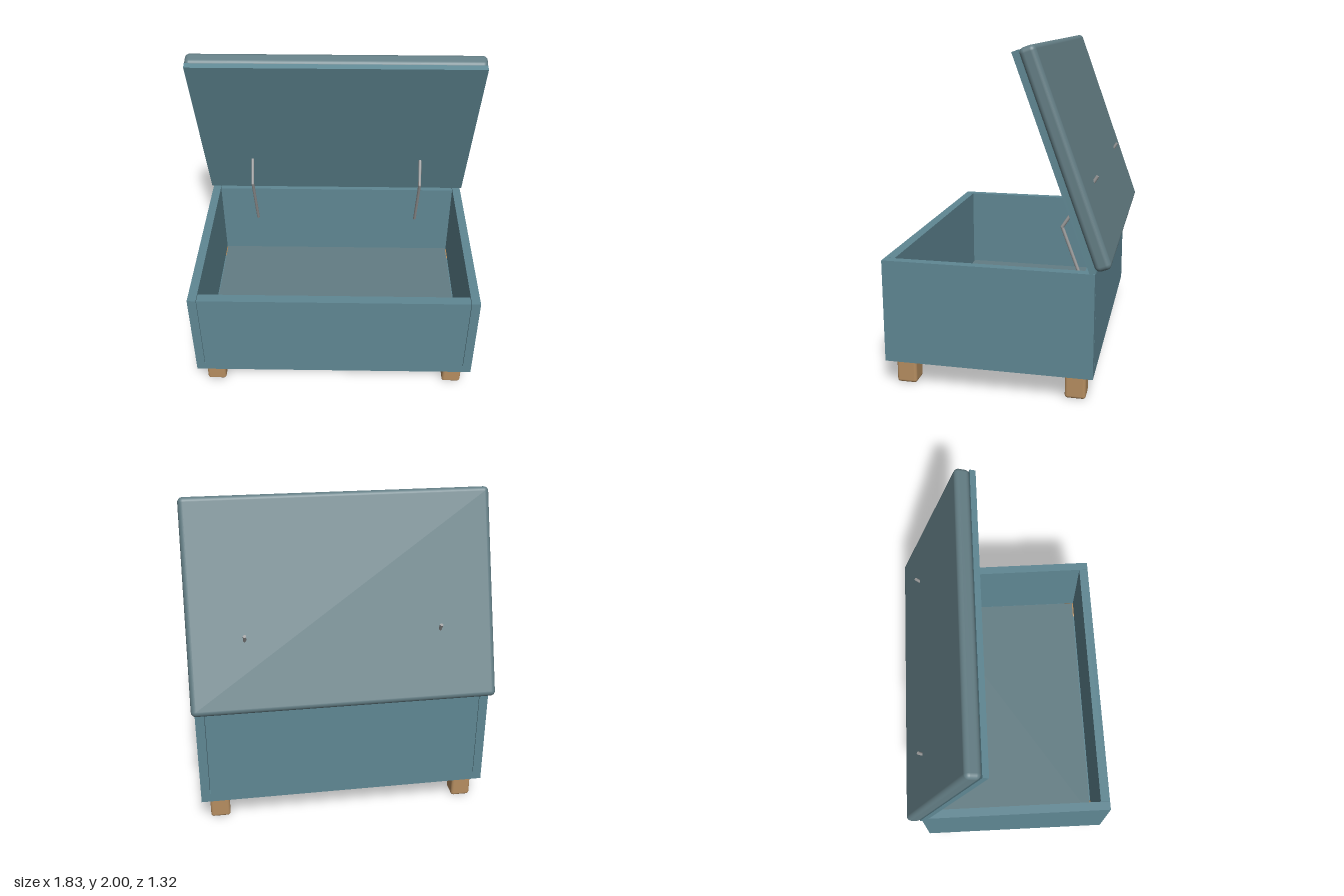
import * as THREE from 'three';
import { RoundedBoxGeometry } from 'three/addons/geometries/RoundedBoxGeometry.js';

const fabric = new THREE.MeshStandardMaterial({ color: 0x5f8793 });
const upholstery = new THREE.MeshStandardMaterial({ color: 0x637d84 });
const wood = new THREE.MeshStandardMaterial({ color: 0xb58d60 });
const metal = new THREE.MeshStandardMaterial({ color: 0x9a9a9a });

export function createModel() {
  const model = new THREE.Group();
  model.name = 'storageOttoman';

  const add = (parent, name, geometry, material, x, y, z) => {
    const mesh = new THREE.Mesh(geometry, material);
    mesh.name = name;
    mesh.position.set(x, y, z);
    parent.add(mesh);
    return mesh;
  };
  // Box given by its lower and upper corners
  const panel = (parent, name, material, [x0, y0, z0], [x1, y1, z1], radius = 0) => {
    const size = [x1 - x0, y1 - y0, z1 - z0];
    const geometry = radius
      ? new RoundedBoxGeometry(...size, 4, radius)
      : new THREE.BoxGeometry(...size);
    return add(parent, name, geometry, material, (x0 + x1) / 2, (y0 + y1) / 2, (z0 + z1) / 2);
  };

  // Storage box: base plate, end panels between the sides, inner floor
  const box = new THREE.Group();
  box.name = 'storageBox';
  model.add(box);
  panel(box, 'basePlate', fabric, [-0.9, 0.16, -0.57], [0.9, 0.215, 0.66]);
  panel(box, 'frontPanel', fabric, [-0.842, 0.215, 0.6], [0.842, 0.78, 0.66]);
  panel(box, 'backPanel', fabric, [-0.842, 0.215, -0.57], [0.842, 0.78, -0.51]);
  panel(box, 'innerFloor', upholstery, [-0.835, 0.215, -0.5], [0.835, 0.235, 0.59]);

  // Lid: hinged at the rear top edge and leaning back by 20 degrees
  const lid = new THREE.Group();
  lid.name = 'lid';
  lid.position.set(0, 0.78, -0.543);
  lid.rotation.x = THREE.MathUtils.degToRad(20);
  model.add(lid);
  panel(lid, 'lidBoard', fabric, [-0.912, 0, -0.036], [0.912, 1.26, 0]);
  panel(lid, 'lidCushion', upholstery, [-0.917, -0.003, -0.128], [0.917, 1.263, -0.034], 0.03);

  // Rod between two points
  const rod = (parent, name, a, b) => {
    const dir = b.clone().sub(a);
    const mid = a.clone().lerp(b, 0.5);
    const mesh = add(parent, name, new THREE.CylinderGeometry(0.01, 0.01, dir.length(), 12), metal, mid.x, mid.y, mid.z);
    mesh.quaternion.setFromUnitVectors(new THREE.Vector3(0, 1, 0), dir.normalize());
  };

  for (const [side, s] of [['left', 1], ['right', -1]]) {
    const x0 = Math.min(s * 0.845, s * 0.9);
    panel(box, `${side}Panel`, fabric, [x0, 0.215, -0.57], [x0 + 0.055, 0.78, 0.66]);

    // Legs reach up through the base plate
    for (const [end, z] of [['Front', 0.55], ['Back', -0.463]]) {
      add(model, `${side}${end}Leg`, new RoundedBoxGeometry(0.122, 0.22, 0.122, 4, 0.018), wood, s * 0.788, 0.115, z);
    }

    // Folding lid stay, bent at the elbow
    const stay = new THREE.Group();
    stay.name = `${side}LidStay`;
    model.add(stay);
    const elbow = new THREE.Vector3(s * 0.583, 0.95, -0.337);
    rod(stay, 'lowerArm', new THREE.Vector3(s * 0.583, 0.53, -0.495), elbow);
    rod(stay, 'upperArm', elbow, new THREE.Vector3(s * 0.583, 1.26, -0.538));
    add(stay, 'elbow', new THREE.SphereGeometry(0.01, 12, 8), metal, elbow.x, elbow.y, elbow.z);
  }
  return model;
}
